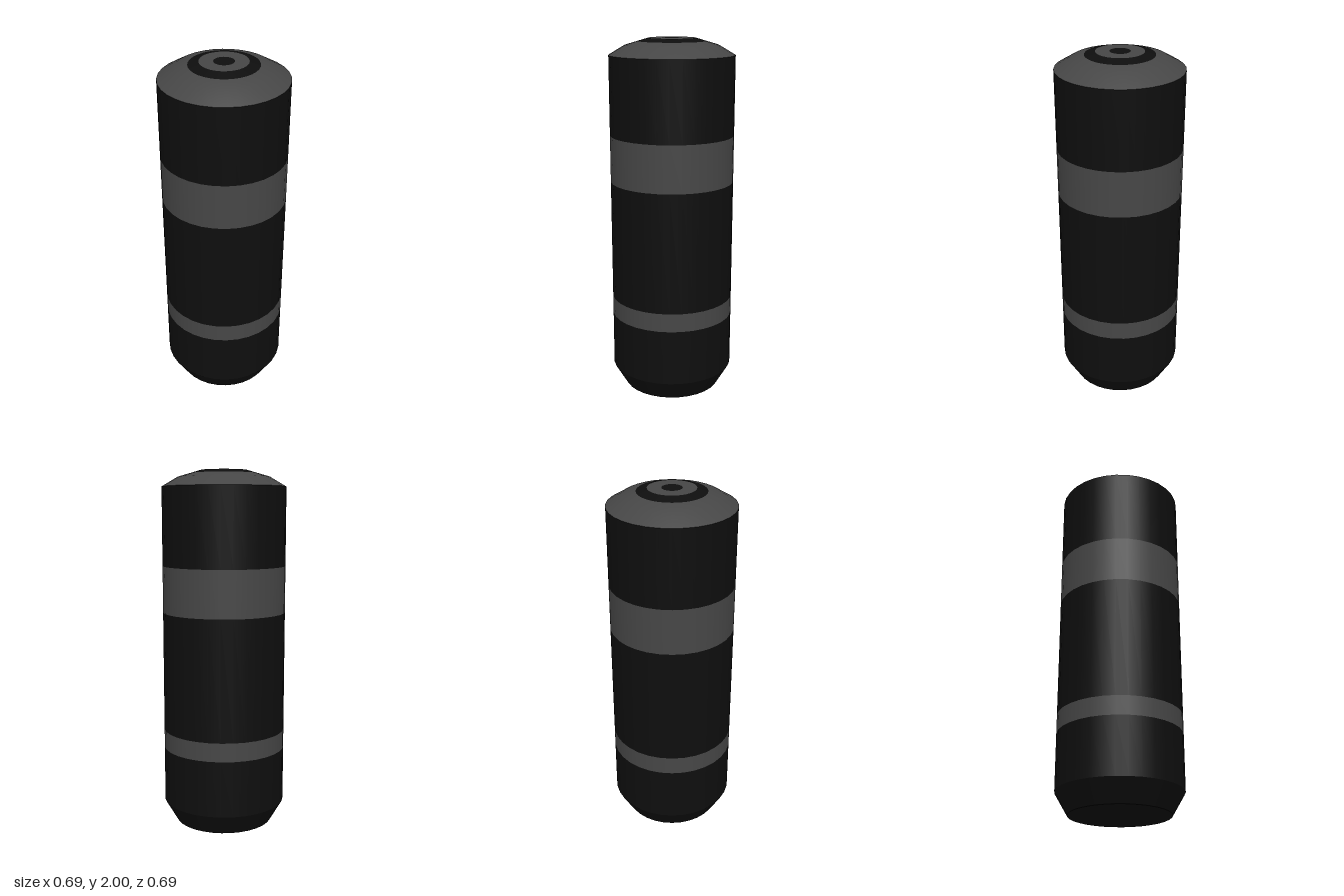
import * as THREE from 'three';

const SEGMENTS = 32;
const R = 0.345;

export function createModel() {
  const group = new THREE.Group();
  group.name = 'canister';

  const black = new THREE.MeshStandardMaterial({ color: 0x0e0e0e });
  black.name = 'black';
  const grey = new THREE.MeshStandardMaterial({ color: 0x464646 });
  grey.name = 'dark grey';

  // Each part is a turned strip; profiles run from the base centre up to the top centre
  const turn = (name, material, ...profile) => {
    const points = profile.map(([r, y]) => new THREE.Vector2(r, y));
    const mesh = new THREE.Mesh(new THREE.LatheGeometry(points, SEGMENTS), material);
    mesh.name = name;
    group.add(mesh);
  };

  // Base and chamfer
  turn('base', black, [0, 0], [0.275, 0]);
  turn('baseChamfer', black, [0.275, 0], [R, 0.12]);

  // Straight body with two painted bands
  turn('lowerBody', black, [R, 0.12], [R, 0.435]);
  turn('narrowBand', grey, [R, 0.435], [R, 0.54]);
  turn('middleBody', black, [R, 0.54], [R, 1.215]);
  turn('wideBand', grey, [R, 1.215], [R, 1.475]);
  turn('upperBody', black, [R, 1.475], [R, 1.91]);

  // Shallow domed cap with ring markings
  turn('capShoulder', grey, [R, 1.91], [0.255, 1.963], [0.186, 1.983]);
  turn('capRing', black, [0.186, 1.983], [0.129, 2]);
  turn('capInnerRing', grey, [0.129, 2], [0.055, 2]);
  turn('capCentre', black, [0.055, 2], [0, 2]);

  return group;
}
